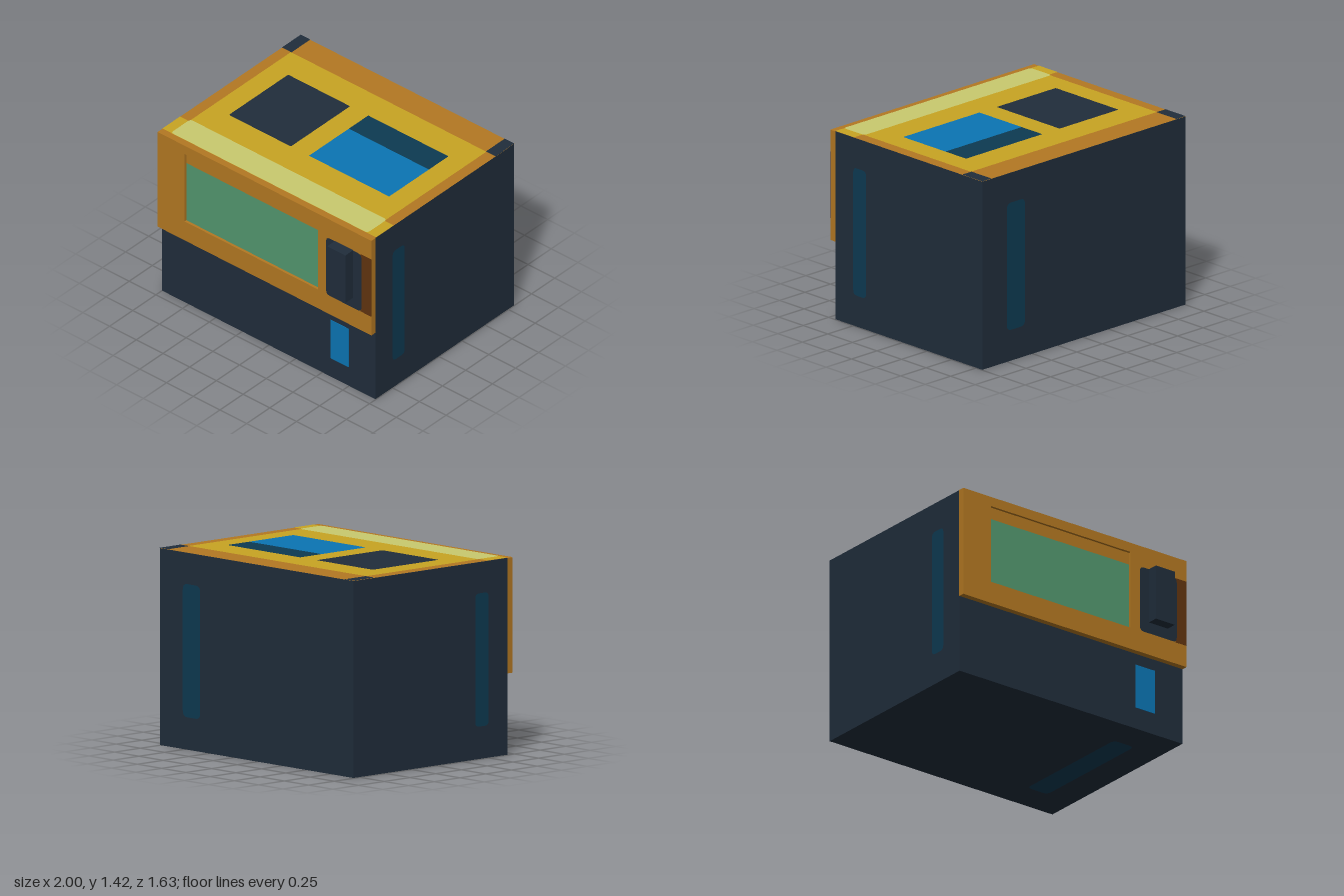
import * as THREE from 'three';

const mat = (name, color) => {
  const m = new THREE.MeshStandardMaterial({ color });
  m.name = name;
  return m;
};

export function createModel() {
  const model = new THREE.Group();
  const navy = mat('navy', 0x202d3b), orange = mat('orange', 0xb37822);
  const green = mat('glass green', 0x53976e), brown = mat('brown', 0x61340f);
  const deepBlue = mat('deep blue', 0x0d3a52), blue = mat('bright blue', 0x0b75b3);
  const yellow = mat('yellow', 0xc8a422), pale = mat('pale yellow', 0xc9ca6e);

  const add = (name, geometry, material) => {
    const mesh = new THREE.Mesh(geometry, material);
    mesh.name = name;
    model.add(mesh);
    return mesh;
  };

  // Box given by its extents on each axis
  const box = (name, m, x0, x1, y0, y1, z0, z1) =>
    add(name, new THREE.BoxGeometry(x1 - x0, y1 - y0, z1 - z0), m)
      .position.set((x0 + x1) / 2, (y0 + y1) / 2, (z0 + z1) / 2);

  // Flat rectangle with rounded corners, w by h, centred
  const plate = (name, m, w, h, r) => {
    const s = new THREE.Shape();
    const a = w / 2, b = h / 2;
    s.moveTo(-a + r, -b);
    s.lineTo(a - r, -b);
    s.quadraticCurveTo(a, -b, a, -b + r);
    s.lineTo(a, b - r);
    s.quadraticCurveTo(a, b, a - r, b);
    s.lineTo(-a + r, b);
    s.quadraticCurveTo(-a, b, -a, b - r);
    s.lineTo(-a, -b + r);
    s.quadraticCurveTo(-a, -b, -a + r, -b);
    return add(name, new THREE.ShapeGeometry(s, 4), m);
  };

  // Casing
  box('casing', navy, -0.998, 0.998, 0.002, 1.412, -0.812, 0.685);

  // Front panel with a window opening
  const shape = new THREE.Shape();
  shape.moveTo(-1, 0.585).lineTo(1, 0.585).lineTo(1, 1.412).lineTo(-1, 1.412).closePath();
  const hole = new THREE.Path();
  hole.moveTo(-0.75, 0.75).lineTo(-0.75, 1.34).lineTo(0.5, 1.34).lineTo(0.5, 0.75).closePath();
  shape.holes.push(hole);
  add('frontPanel', new THREE.ExtrudeGeometry(shape, { depth: 0.047, bevelEnabled: false }), orange)
    .position.z = 0.683;
  box('window', green, -0.75, 0.5, 0.75, 1.25, 0.684, 0.71);
  box('windowHeader', orange, -0.75, 0.5, 1.25, 1.34, 0.684, 0.71);

  // Handle with its backing and the brown patch beside it
  plate('handleBacking', navy, 0.33, 0.5, 0.035).position.set(0.745, 1, 0.734);
  box('handlePatch', brown, 0.9, 1, 0.75, 1.25, 0.726, 0.732);
  box('handle', navy, 0.66, 0.83, 0.835, 1.25, 0.73, 0.815);

  // Bright label on the lower front
  box('frontLabel', blue, 0.58, 0.75, 0.165, 0.5, 0.68, 0.688);

  // Dark strips on both sides, the back and the underside
  for (const side of [-1, 1]) {
    const strip = plate('sideStrip', deepBlue, 0.13, 0.955, 0.035);
    strip.position.set(side, 0.712, 0.435);
    strip.rotation.y = side * Math.PI / 2;
  }
  const back = plate('backStrip', deepBlue, 0.18, 0.955, 0.045);
  back.position.set(0.67, 0.712, -0.815);
  back.rotation.y = Math.PI;
  const under = plate('bottomStrip', deepBlue, 0.18, 1, 0.045);
  under.position.set(0.67, 0, -0.065);
  under.rotation.x = Math.PI / 2;

  // Painted top, in thin layers
  const top = (name, m, x0, x1, z0, z1, layer, r = 0.002) => {
    const p = plate(name, m, x1 - x0, z1 - z0, r);
    p.rotation.x = -Math.PI / 2;
    p.position.set((x0 + x1) / 2, 1.412 + layer * 0.002, (z0 + z1) / 2);
  };
  top('topBase', orange, -1, 1, -0.814, 0.73, 1);
  top('topField', yellow, -0.915, 0.915, -0.61, 0.68, 2);
  for (const side of [-1, 1]) {
    const [a, b] = side > 0 ? [0.91, 1] : [-1, -0.91];
    top('topFrontEdge', yellow, a, b, 0.49, 0.68, 2);
    top('topBackCorner', navy, a, b, -0.814, -0.61, 2);
  }
  top('topStripe', pale, -0.92, 0.92, 0.47, 0.68, 3, 0.025);
  top('topDarkPanel', navy, -0.75, -0.17, -0.39, 0.25, 3, 0.012);
  top('topBluePanel', blue, 0, 0.75, -0.18, 0.25, 3);
  top('topBluePanelShade', deepBlue, 0, 0.75, -0.39, -0.18, 3);

  return model;
}
